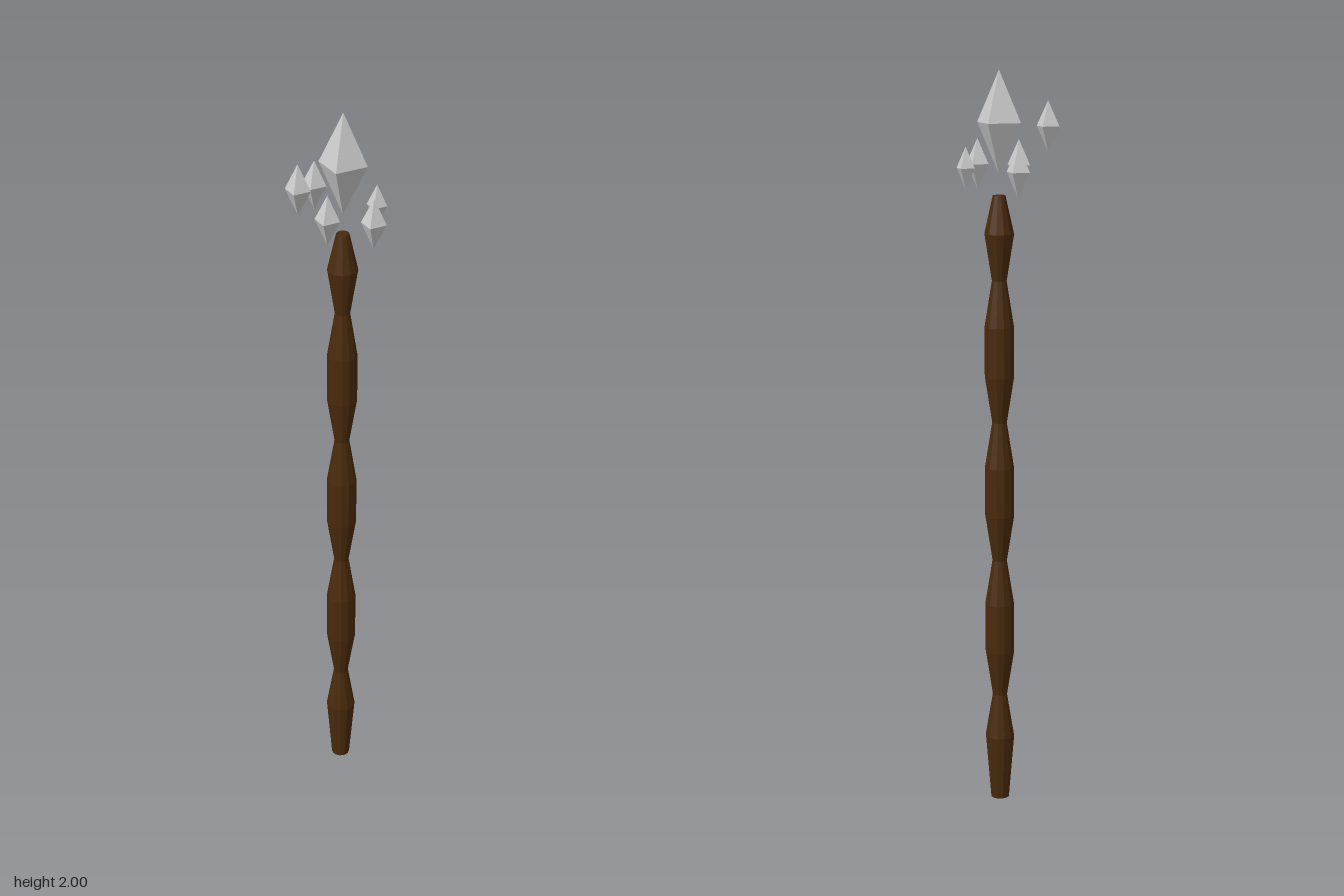
import * as THREE from 'three';

const wood = new THREE.MeshStandardMaterial({ color: 0x4a2a0c, flatShading: true });
wood.name = 'dark wood';
const stone = new THREE.MeshStandardMaterial({ color: 0xcccccc, flatShading: true });
stone.name = 'pale crystal';

// Four-sided double pyramid with its square waist aligned to the axes
function crystal(name, x, y, z, halfWidth, halfHeight) {
  const geometry = new THREE.OctahedronGeometry(1);
  geometry.rotateY(Math.PI / 4);
  geometry.scale(halfWidth * Math.SQRT2, halfHeight, halfWidth * Math.SQRT2);
  const mesh = new THREE.Mesh(geometry, stone);
  mesh.name = name;
  mesh.position.set(x, y, z);
  return mesh;
}

export function createModel() {
  const group = new THREE.Group();
  group.name = 'crystalStaff';

  // Shaft: repeated bulges separated by narrow necks
  const profile = [[0, 0], [0.025, 0], [0.04, 0.18]];
  for (let i = 0; i < 4; i++) {
    const neck = 0.3 + i * 0.383;
    profile.push([0.02, neck], [0.04, neck + 0.125]);
    if (i < 3) profile.push([0.04, neck + 0.26]);
  }
  profile.push([0.017, 1.675], [0, 1.675]);
  const points = profile.map(([r, y]) => new THREE.Vector2(r, y));
  const shaft = new THREE.Mesh(new THREE.LatheGeometry(points, 12), wood);
  shaft.name = 'shaft';
  shaft.position.set(0.037, 0, 0.013);
  group.add(shaft);

  // Large crystal hovering over the tip, ringed by small ones
  group.add(
    crystal('mainCrystal', 0.037, 1.864, 0.013, 0.045, 0.136),
    crystal('highCrystal', -0.118, 1.848, 0.065, 0.0235, 0.068),
    crystal('rightCrystal', -0.036, 1.748, 0.065, 0.0235, 0.068),
    crystal('backCrystal', 0.037, 1.748, -0.139, 0.0235, 0.068),
    crystal('frontCrystal', 0.056, 1.748, 0.136, 0.0235, 0.068),
    crystal('leftCrystal', 0.12, 1.746, 0.04, 0.019, 0.056)
  );
  return group;
}
